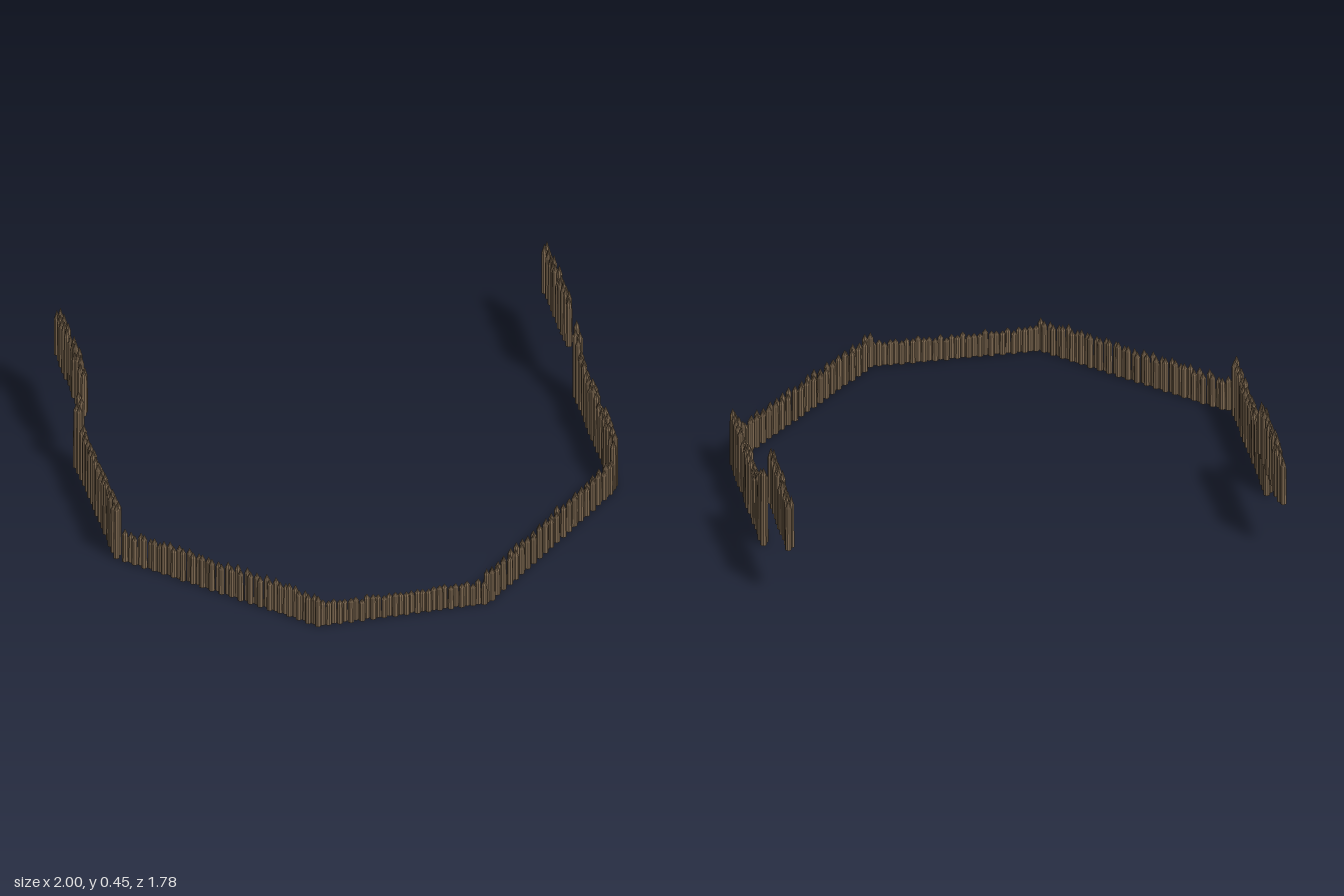
import * as THREE from 'three';
import { mergeGeometries } from 'three/addons/utils/BufferGeometryUtils.js';

// Seeded random in 0..1
let seed = 7;
const rand = () => {
  seed = (seed * 16807) % 2147483647;
  return seed / 2147483647;
};

const RADIUS = 0.0125;
const SPACING = 0.0215;

// One sharpened log: slightly tapered shaft with a pointed top
function stakeGeometry(x, z, base, shoulder, tip) {
  const h = shoulder - base;
  const shaft = new THREE.CylinderGeometry(RADIUS * 0.92, RADIUS, h, 8, 1, false);
  shaft.translate(0, base + h / 2, 0);
  const point = new THREE.ConeGeometry(RADIUS * 0.92, tip - shoulder, 8, 1, true);
  point.translate(0, (shoulder + tip) / 2, 0);
  const stake = mergeGeometries([shaft, point]);
  stake.rotateY(rand() * Math.PI);
  return stake.translate(x, 0, z);
}

// A row of stakes from a to b [x, z], staggered sideways, with uneven tops
function palisade(name, material, { a, b, base = 0, low, high, point, rise = 0 }) {
  const dx = b[0] - a[0], dz = b[1] - a[1];
  const length = Math.hypot(dx, dz);
  const n = Math.round(length / SPACING);
  const stakes = [];
  for (let i = 0; i <= n; i++) {
    const t = i / n;
    const side = (i % 2 ? 1 : -1) * (0.002 + 0.006 * rand());
    // the last few stakes climb to meet the raised wall
    const lift = i > n - 4 ? rise * (0.75 + 0.25 * rand()) : 0;
    const tip = low + (high - low) * rand() + lift;
    stakes.push(stakeGeometry(
      a[0] + dx * t - (dz / length) * side,
      a[1] + dz * t + (dx / length) * side,
      base, tip - point, tip));
  }
  const mesh = new THREE.Mesh(mergeGeometries(stakes), material);
  mesh.name = name;
  return mesh;
}

export function createModel() {
  const group = new THREE.Group();
  group.name = 'palisade';
  const wood = new THREE.MeshStandardMaterial({ color: 0x7d6850, flatShading: true });

  const front = { low: 0.095, high: 0.112, point: 0.017 };
  const diagonal = { low: 0.13, high: 0.15, point: 0.025 };
  const side = { low: 0.215, high: 0.25, point: 0.03, rise: 0.09 };
  const rear = { base: 0.205, low: 0.405, high: 0.45, point: 0.04 };

  const walls = [
    ['frontWall', front, [-0.33, 0.865], [0.30, 0.865]],
    ['leftDiagonalWall', diagonal, [0.315, 0.86], [0.955, 0.23]],
    ['rightDiagonalWall', diagonal, [-0.345, 0.865], [-0.955, 0.26]],
    ['leftSideWall', side, [0.97, 0.215], [0.978, -0.455]],
    ['rightSideWall', side, [-0.98, 0.235], [-0.98, -0.43]],
    ['leftRaisedWall', rear, [0.96, -0.48], [0.96, -0.88]],
    ['rightRaisedWall', rear, [-0.947, -0.448], [-0.945, -0.88]],
  ];
  for (const [name, style, a, b] of walls) {
    group.add(palisade(name, wood, { ...style, a, b }));
  }
  return group;
}
